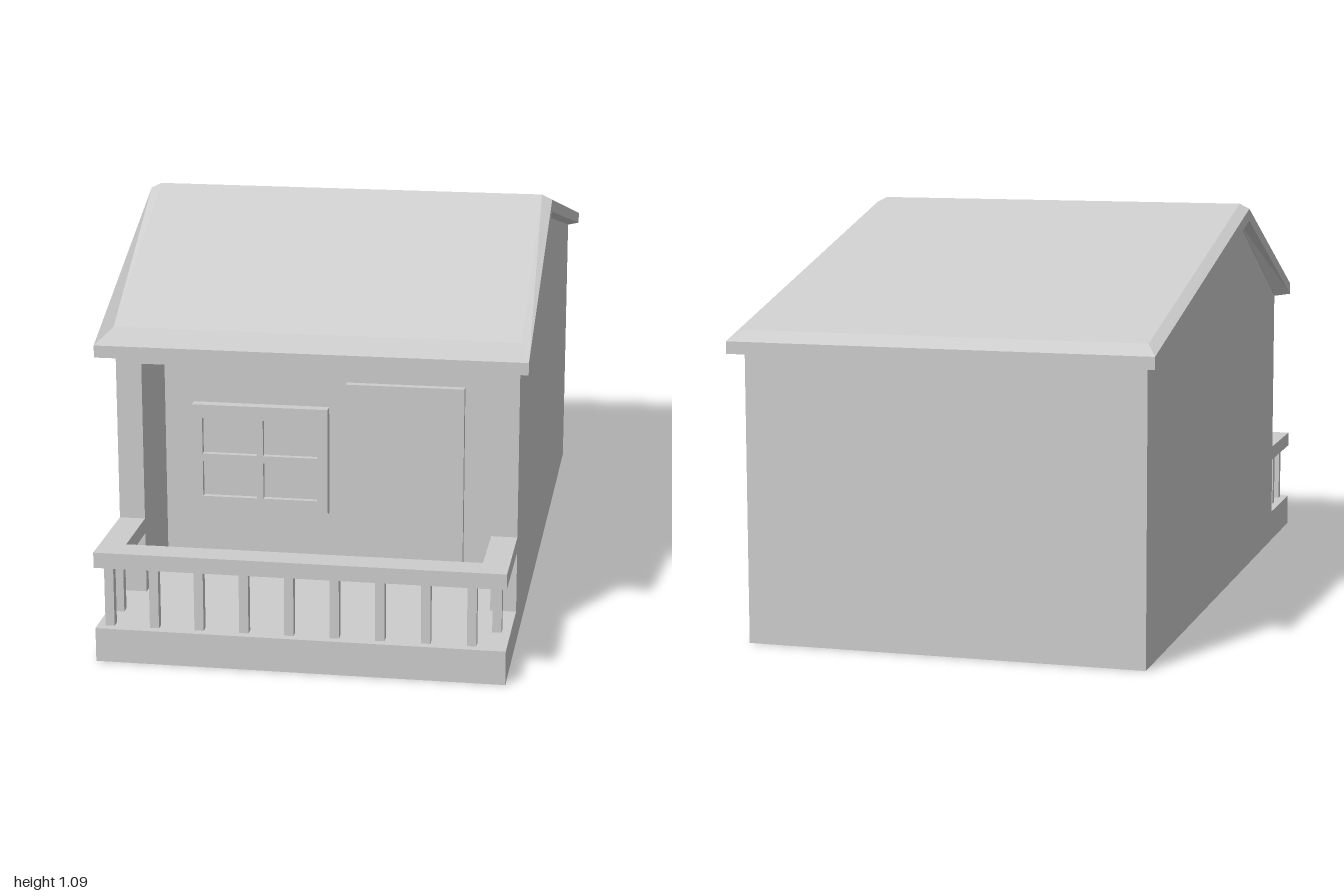
import * as THREE from 'three';

const plaster = new THREE.MeshStandardMaterial({ color: 0xcccccc });
plaster.name = 'plainGrey';

function add(parent, name, geometry) {
  const mesh = new THREE.Mesh(geometry, plaster);
  mesh.name = name;
  parent.add(mesh);
  return mesh;
}

// Box given by its limits on each axis
function block(parent, name, [x0, x1], [y0, y1], [z0, z1]) {
  const g = new THREE.BoxGeometry(x1 - x0, y1 - y0, z1 - z0);
  g.translate((x0 + x1) / 2, (y0 + y1) / 2, (z0 + z1) / 2);
  return add(parent, name, g);
}

// Side profile of [z, y] points, extruded from x0 to x1
function slab(parent, name, profile, x0, x1) {
  const shape = new THREE.Shape(profile.map(([z, y]) => new THREE.Vector2(z, y)));
  const g = new THREE.ExtrudeGeometry(shape, { depth: x1 - x0, bevelEnabled: false });
  g.rotateY(-Math.PI / 2).translate(x1, 0, 0);
  return add(parent, name, g);
}

function rectangle(Type, x0, x1, y0, y1) {
  return new Type([[x0, y0], [x1, y0], [x1, y1], [x0, y1]].map(p => new THREE.Vector2(...p)));
}

// Gabled roof from four rings: top, outer upper edge, outer lower edge, underside
function roofGeometry() {
  const ring = (x, front, ridge, back) => [
    [x, front[1], front[0]], [x, ridge, 0.155], [x, back[1], back[0]],
    [-x, back[1], back[0]], [-x, ridge, 0.155], [-x, front[1], front[0]],
  ];
  const rings = [
    ring(0.53, [0.725, 0.818], 1.085, [-0.95, 0.818]),
    ring(0.558, [0.825, 0.793], 1.071, [-1, 0.793]),
    ring(0.558, [0.825, 0.761], 1.038, [-1, 0.761]),
    ring(0.53, [0.72, 0.765], 1.03, [-0.95, 0.765]),
  ];
  const positions = [];
  const quad = (a, b, c, d) => positions.push(...a, ...b, ...c, ...a, ...c, ...d);
  for (let r = 0; r < 3; r++) {
    for (let i = 0; i < 6; i++) {
      const j = (i + 1) % 6;
      quad(rings[r + 1][i], rings[r + 1][j], rings[r][j], rings[r][i]);
    }
  }
  const [t, , , u] = rings;
  quad(t[0], t[1], t[4], t[5]);
  quad(t[1], t[2], t[3], t[4]);
  quad(u[5], u[4], u[1], u[0]);
  quad(u[4], u[3], u[2], u[1]);
  const g = new THREE.BufferGeometry();
  g.setAttribute('position', new THREE.Float32BufferAttribute(positions, 3));
  g.computeVertexNormals();
  return g;
}

export function createModel() {
  const house = new THREE.Group();
  house.name = 'house';

  // Body: core with a recessed entrance, closed by two side walls
  const gable = [[0.72, 0.765], [0.155, 1.03], [-0.95, 0.765]];
  slab(house, 'houseCore', [
    [-0.95, 0], [0.72, 0], [0.72, 0.09], [0.46, 0.09], [0.46, 0.72], [0.72, 0.72], ...gable,
  ], -0.46, 0.46);
  const side = [[-0.95, 0], [0.72, 0], ...gable];
  slab(house, 'leftWall', side, 0.46, 0.528);
  slab(house, 'rightWall', side, -0.528, -0.46);
  add(house, 'roof', roofGeometry());

  // Door and four-pane window on the recessed wall
  block(house, 'door', [0.04, 0.36], [0.09, 0.618], [0.46, 0.482]);
  const frame = rectangle(THREE.Shape, -0.38, -0.008, 0.25, 0.547);
  for (const [x0, x1] of [[-0.352, -0.203], [-0.185, -0.037]]) {
    for (const [y0, y1] of [[0.288, 0.388], [0.409, 0.509]]) {
      frame.holes.push(rectangle(THREE.Path, x0, x1, y0, y1));
    }
  }
  const frameGeometry = new THREE.ExtrudeGeometry(frame, { depth: 0.03, bevelEnabled: false });
  add(house, 'windowFrame', frameGeometry.translate(0, 0, 0.46));
  block(house, 'windowPanes', [-0.37, -0.018], [0.26, 0.537], [0.46, 0.474]);

  // Porch: floor, handrail and balusters
  const porch = new THREE.Group();
  porch.name = 'porch';
  house.add(porch);
  block(porch, 'porchFloor', [-0.528, 0.528], [0, 0.09], [0.72, 1]);
  block(porch, 'frontRail', [-0.528, 0.528], [0.254, 0.295], [0.925, 1]);
  block(porch, 'leftRail', [0.46, 0.528], [0.254, 0.295], [0.72, 0.925]);
  block(porch, 'rightRail', [-0.528, -0.46], [0.254, 0.295], [0.72, 0.925]);
  const baluster = (x, z) =>
    block(porch, 'baluster', [x - 0.012, x + 0.012], [0.09, 0.254], [z - 0.012, z + 0.012]);
  for (let i = 0; i < 9; i++) baluster(-0.495 + i * 0.1168, 0.965);
  for (const x of [-0.495, 0.493]) baluster(x, 0.862);

  return house;
}
